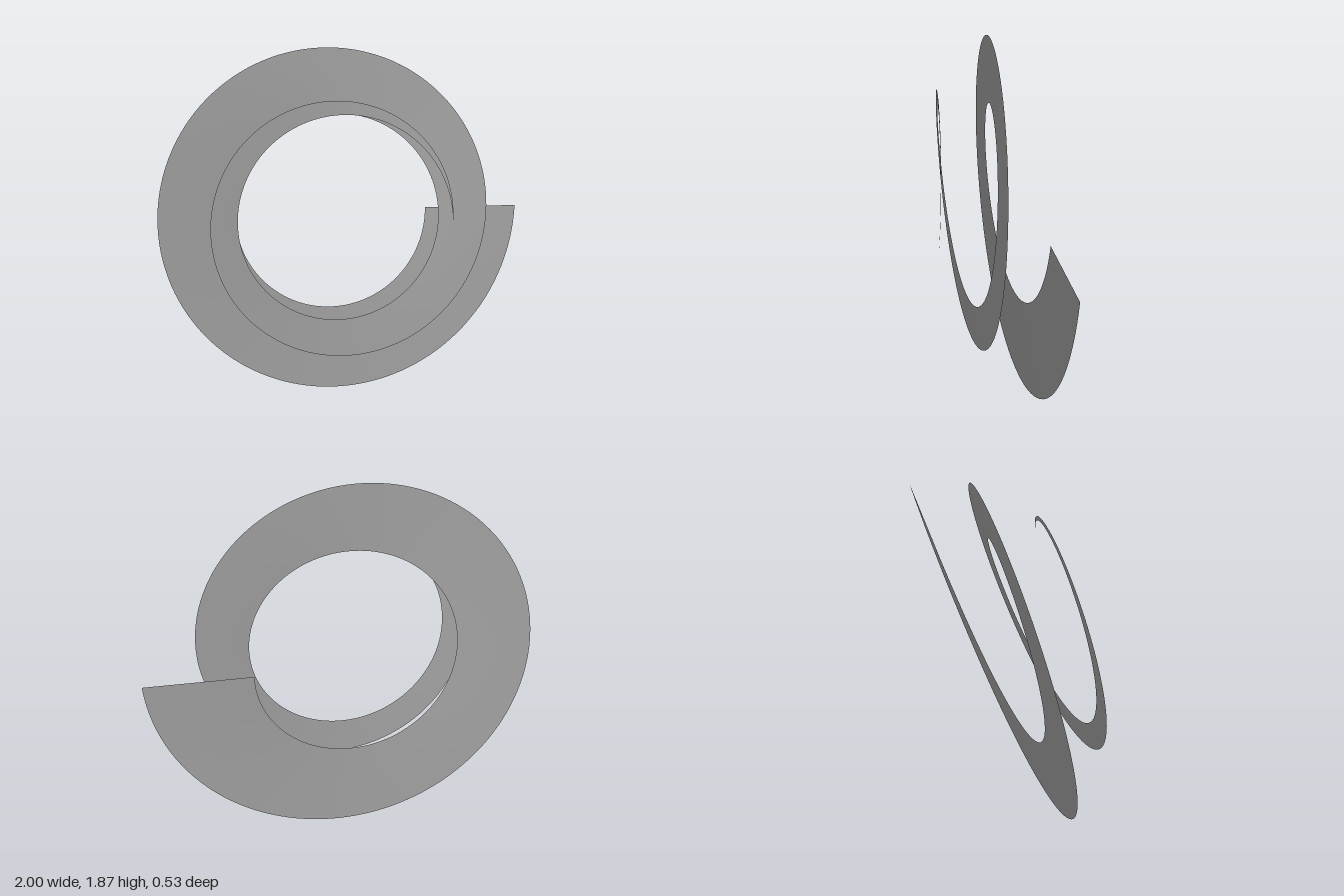
import * as THREE from 'three';

const TURNS = 2, SEGMENTS = 256, RINGS = 4;
const INNER = 0.533;          // constant radius of the inner edge
const GROWTH = 0.267;         // ribbon width gained per turn
const PITCH = 0.267;          // depth travelled per turn
const CENTRE = new THREE.Vector3(-0.067, 1, 0);

// Helical ribbon: starts as a point at the front and widens towards the back
function spiralRibbon() {
  const positions = [], indices = [];
  for (let i = 0; i <= SEGMENTS; i++) {
    const turn = (i / SEGMENTS) * TURNS;
    const angle = turn * Math.PI * 2;
    for (let j = 0; j <= RINGS; j++) {
      const r = INNER + GROWTH * turn * (j / RINGS);
      positions.push(r * Math.cos(angle), r * Math.sin(angle), PITCH * (TURNS / 2 - turn));
    }
  }
  const row = RINGS + 1;
  for (let i = 0; i < SEGMENTS; i++) {
    for (let j = 0; j < RINGS; j++) {
      const a = i * row + j, b = a + 1, c = a + row, d = c + 1;
      if (i > 0) indices.push(a, b, c); // first row is collapsed to a point
      indices.push(b, d, c);
    }
  }
  const geometry = new THREE.BufferGeometry();
  geometry.setAttribute('position', new THREE.Float32BufferAttribute(positions, 3));
  geometry.setIndex(indices);
  geometry.computeVertexNormals();
  return geometry;
}

export function createModel() {
  const group = new THREE.Group();
  group.name = 'spiralModel';
  const grey = new THREE.MeshStandardMaterial({ color: 0xa0a0a0, side: THREE.DoubleSide });
  grey.name = 'grey';
  const ribbon = new THREE.Mesh(spiralRibbon(), grey);
  ribbon.name = 'spiralRibbon';
  ribbon.position.copy(CENTRE);
  group.add(ribbon);
  return group;
}
